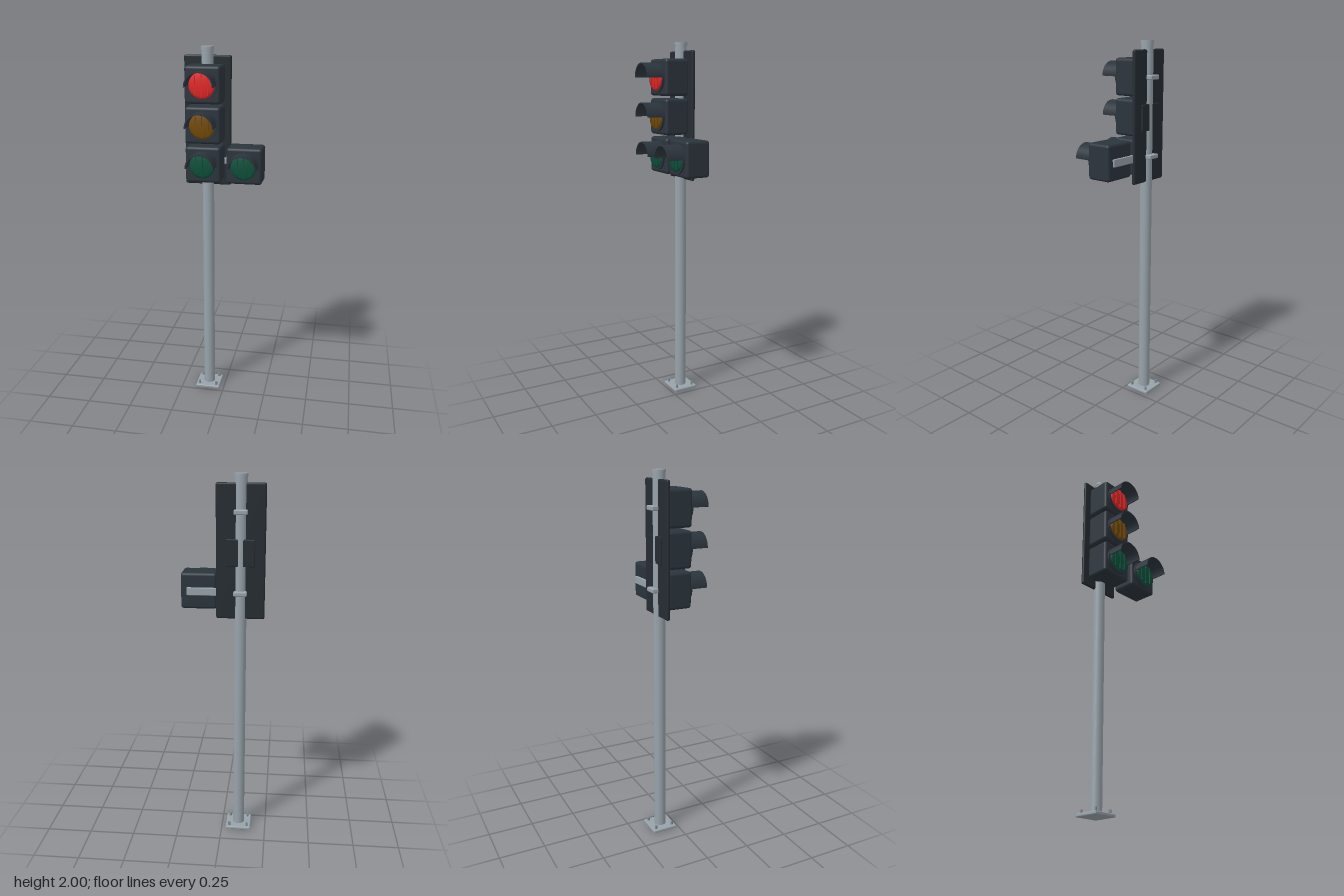
import * as THREE from 'three';
import { RoundedBoxGeometry } from 'three/addons/geometries/RoundedBoxGeometry.js';

const mat = (name, color, extra = {}) => {
  const m = new THREE.MeshStandardMaterial({ color, ...extra });
  m.name = name;
  return m;
};

export function createModel() {
  const model = new THREE.Group();
  model.name = 'trafficSignal';
  const housing = mat('charcoal housing', 0x2b343c);
  const plate = mat('dark backing', 0x252c32);
  const steel = mat('galvanised steel', 0x97a2a9);
  const bolt = mat('bolt grey', 0x7f8a91);
  const red = mat('red lens', 0xe02626);
  const amber = mat('amber lens', 0x724a06);
  const green = mat('green lens', 0x0d503b);

  const add = (parent, name, geo, material, x = 0, y = 0, z = 0) => {
    const mesh = new THREE.Mesh(geo, material);
    mesh.name = name;
    mesh.position.set(x, y, z);
    parent.add(mesh);
    return mesh;
  };
  const rbox = (w, h, d, r) => new RoundedBoxGeometry(w, h, d, 3, r);
  const PX = -0.095, PZ = -0.086;

  // Pole, cap and bolted foot
  add(model, 'pole', new THREE.CylinderGeometry(0.032, 0.032, 1.97, 40), steel, PX, 1.0, PZ);
  add(model, 'poleCap', new THREE.CylinderGeometry(0.035, 0.035, 0.016, 40), steel, PX, 1.992, PZ);
  add(model, 'basePlate', rbox(0.142, 0.018, 0.142, 0.006), steel, PX, 0.009, PZ);
  for (const sx of [-1, 1]) for (const sz of [-1, 1]) {
    add(model, 'baseBolt', new THREE.CylinderGeometry(0.007, 0.007, 0.022, 12), bolt,
      PX + sx * 0.05, 0.027, PZ + sz * 0.05);
  }

  // Backing board and rear cover
  add(model, 'backBoard', rbox(0.254, 0.695, 0.02, 0.009), plate, PX, 1.608, -0.095);
  add(model, 'rearCover', rbox(0.146, 0.14, 0.012, 0.004), plate, PX, 1.608, -0.109);

  // Pole clamps
  for (const y of [1.815, 1.4]) {
    add(model, 'poleClamp', rbox(0.07, 0.024, 0.036, 0.006), steel, PX, y, -0.123);
  }

  // Half-round hood section, extruded forwards
  const hoodShape = new THREE.Shape();
  hoodShape.absarc(0, 0, 0.076, 0, Math.PI, false);
  hoodShape.absarc(0, 0, 0.07, Math.PI, 0, true);
  const hoodGeo = new THREE.ExtrudeGeometry(hoodShape, { depth: 0.103, bevelEnabled: false, curveSegments: 32 });

  // Bezel ring
  const ringShape = new THREE.Shape();
  ringShape.absarc(0, 0, 0.079, 0, Math.PI * 2, false);
  const hole = new THREE.Path();
  hole.absarc(0, 0, 0.067, 0, Math.PI * 2, true);
  ringShape.holes.push(hole);
  const ringGeo = new THREE.ExtrudeGeometry(ringShape, { depth: 0.014, bevelEnabled: false, curveSegments: 32 });

  // Shallow lens turned about the forward axis
  const lensGeo = new THREE.LatheGeometry([
    [0.068, 0], [0.068, 0.014], [0.055, 0.0175], [0.035, 0.02], [0.015, 0.0213], [0, 0.0215],
  ].map(([r, h]) => new THREE.Vector2(r, h)), 48);
  lensGeo.rotateX(Math.PI / 2);

  const addSignal = (name, x, y, lensMat) => {
    const g = new THREE.Group();
    g.name = name;
    g.position.set(x, y, 0);
    model.add(g);
    add(g, 'housing', rbox(0.19, 0.193, 0.14, 0.016), housing, 0, 0, -0.015);
    add(g, 'bezel', ringGeo, housing, 0, 0, 0.052);
    add(g, 'hood', hoodGeo, housing, 0, 0, 0.052);
    add(g, 'lens', lensGeo, lensMat, 0, 0, 0.055);
    // Upright ribs across the lens
    for (const rx of [-0.034, 0, 0.034]) {
      const h = 2 * Math.sqrt(0.06 ** 2 - rx ** 2);
      add(g, 'lensRib', new THREE.BoxGeometry(0.004, h, 0.02), lensMat, rx, 0, 0.07);
    }
  };
  addSignal('redSignal', PX, 1.815, red);
  addSignal('amberSignal', PX, 1.608, amber);
  addSignal('greenSignal', PX, 1.4, green);
  addSignal('sideGreenSignal', 0.125, 1.4, green);

  // Arm carrying the side signal
  add(model, 'sideArm', rbox(0.05, 0.032, 0.034, 0.004), steel, 0.018, 1.4, -0.077);
  add(model, 'sideArmStrip', rbox(0.185, 0.042, 0.012, 0.004), steel, 0.095, 1.4, -0.09);

  return model;
}
